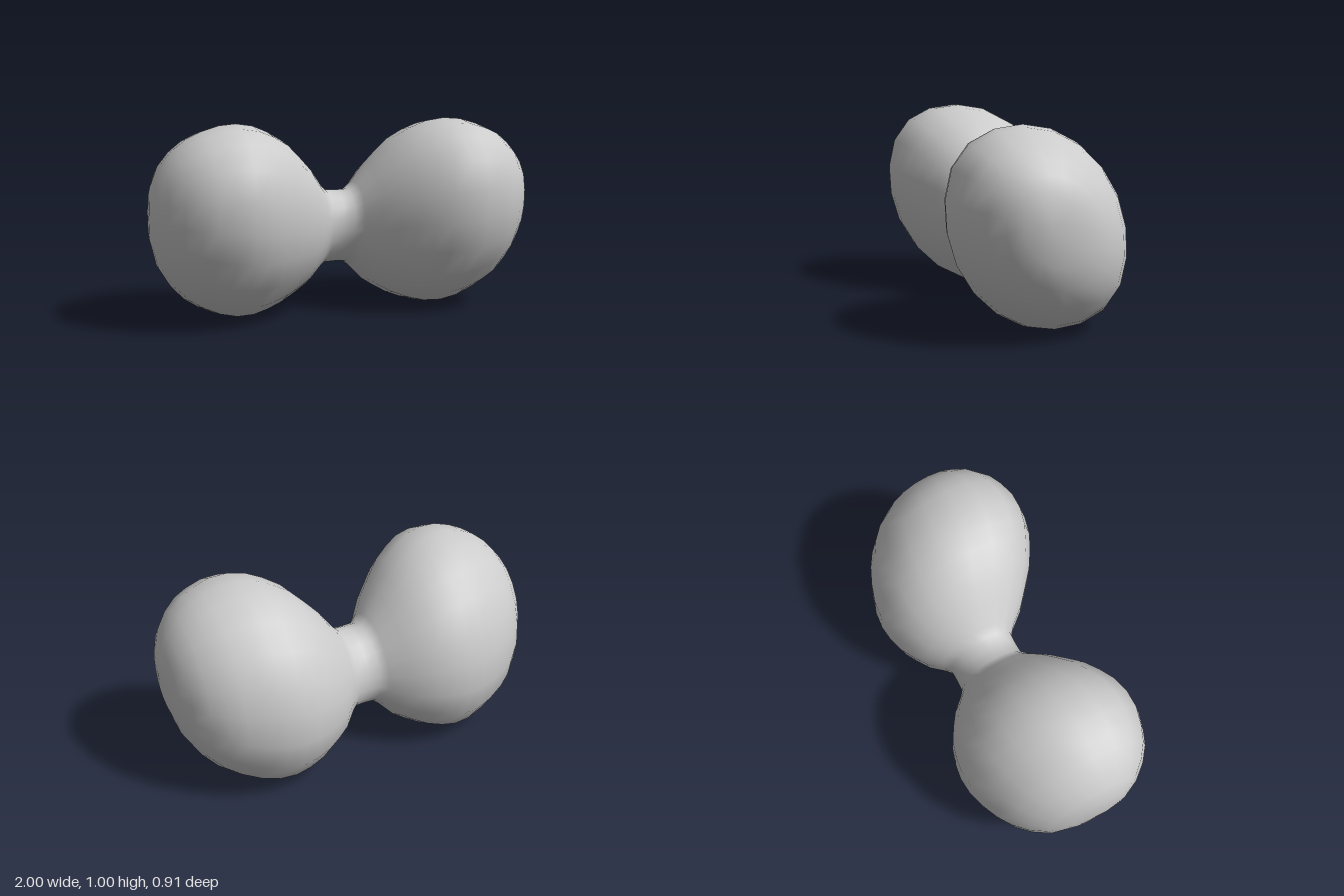
import * as THREE from 'three';
import { mergeVertices } from 'three/addons/utils/BufferGeometryUtils.js';

const SEGMENTS = 20;

// Stations from the neck to the tip of a lobe: x, centre y, centre z, scale
const HALF = [
  [0.06, 0.44, -0.065, 0.4],
  [0.1, 0.442, -0.063, 0.47],
  [0.17, 0.452, -0.057, 0.64],
  [0.24, 0.466, -0.05, 0.76],
  [0.31, 0.48, -0.04, 0.87],
  [0.39, 0.488, -0.028, 0.95],
  [0.47, 0.495, -0.014, 1.005],
  [0.56, 0.502, 0, 1.02],
  [0.65, 0.51, 0.013, 0.99],
  [0.74, 0.518, 0.02, 0.92],
  [0.81, 0.525, 0.027, 0.84],
  [0.88, 0.535, 0.032, 0.71],
  [0.94, 0.547, 0.038, 0.54],
  [0.975, 0.565, 0.055, 0.34],
  [1, 0.59, 0.085, 0],
];

// Slanted oval cross-section, slightly fuller along its long diagonal
function ringPoint([x, cy, cz, s], angle) {
  const c = Math.cos(angle), n = Math.sin(angle);
  const fullness = 1 + 0.045 * Math.max(0, Math.sin(2 * angle)) ** 2;
  const r = s * fullness;
  return [x, cy + r * 0.49 * c, cz + r * (0.073 * c + 0.434 * n)];
}

function loft(stations) {
  const positions = [], index = [];
  for (const station of stations) {
    for (let j = 0; j < SEGMENTS; j++) {
      positions.push(...ringPoint(station, (j / SEGMENTS) * Math.PI * 2));
    }
  }
  for (let i = 0; i < stations.length - 1; i++) {
    for (let j = 0; j < SEGMENTS; j++) {
      const k = (j + 1) % SEGMENTS;
      const a = i * SEGMENTS + j, b = i * SEGMENTS + k;
      const c = a + SEGMENTS, d = b + SEGMENTS;
      if (stations[i][3] > 0) index.push(a, b, c);
      if (stations[i + 1][3] > 0) index.push(b, d, c);
    }
  }
  const geometry = new THREE.BufferGeometry();
  geometry.setAttribute('position', new THREE.Float32BufferAttribute(positions, 3));
  geometry.setIndex(index);
  const merged = mergeVertices(geometry, 1e-5);
  merged.computeVertexNormals();
  return merged;
}

export function createModel() {
  const group = new THREE.Group();
  group.name = 'twinLobes';

  // Two mirrored lobes joined by a narrow neck, as one continuous skin
  const mirrored = HALF.map(([x, y, z, s]) => [-x, y, z, s]).reverse();
  const neck = [0, 0.44, -0.065, 0.395];
  const body = new THREE.Mesh(
    loft([...mirrored, neck, ...HALF]),
    new THREE.MeshStandardMaterial({ color: 0xcccccc })
  );
  body.name = 'lobesAndNeck';
  group.add(body);
  return group;
}
